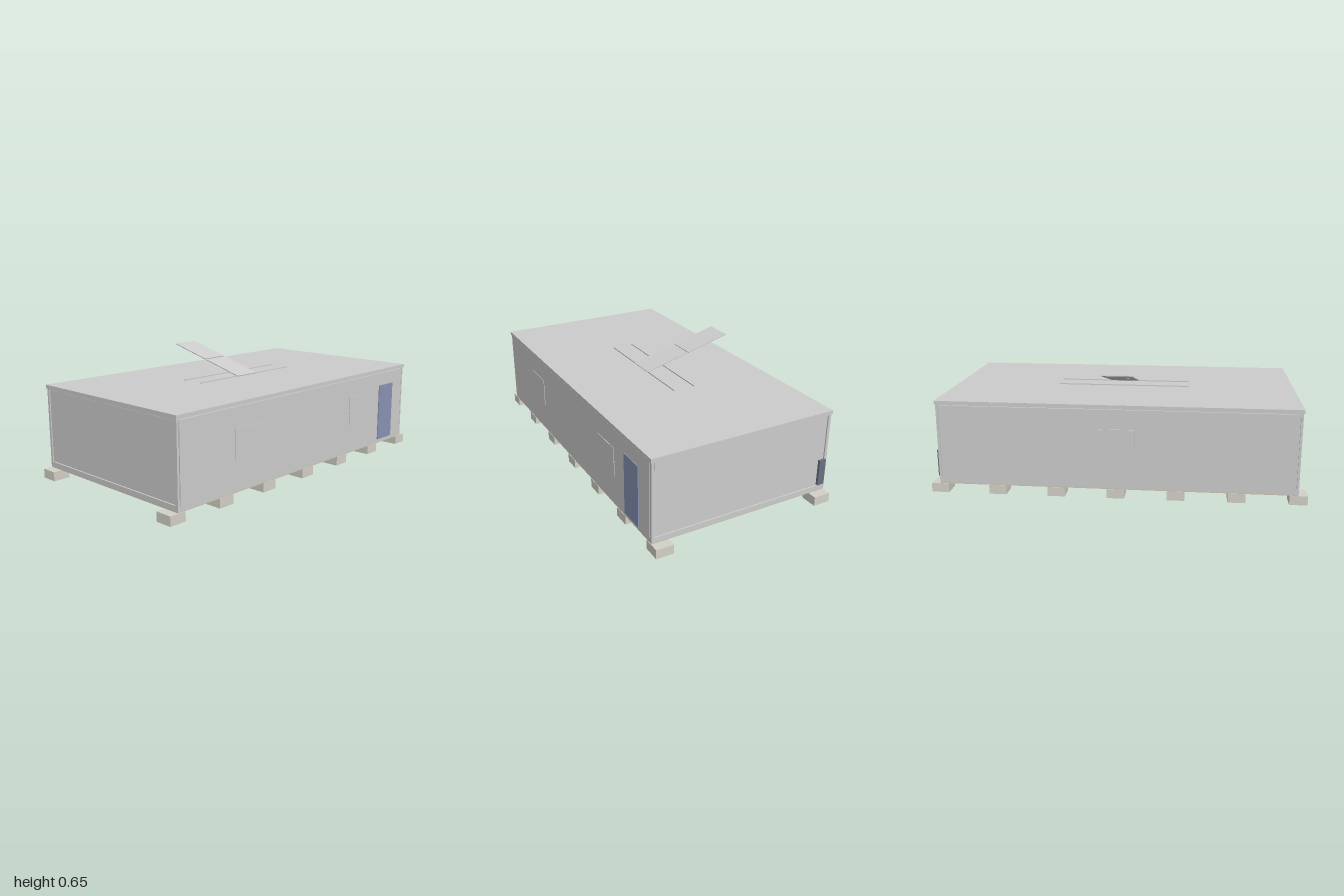
import * as THREE from 'three';

const paint = (color) => new THREE.MeshStandardMaterial({ color });
const grey = paint(0xcccccc);
const concrete = paint(0xd2d0c6);
const floorPaint = paint(0xd0c6b0);
const doorBlue = paint(0x8892b2);
const cabinetBlue = paint(0x687180);

// Box given by its min and max on each axis
function box(name, [x0, x1], [y0, y1], [z0, z1], material = grey) {
  const mesh = new THREE.Mesh(new THREE.BoxGeometry(x1 - x0, y1 - y0, z1 - z0), material);
  mesh.name = name;
  mesh.position.set((x0 + x1) / 2, (y0 + y1) / 2, (z0 + z1) / 2);
  return mesh;
}

export function createModel() {
  const model = new THREE.Group();
  model.name = 'modularCabin';
  const add = (...args) => model.add(box(...args));

  // Foundation blocks in two rows
  for (const side of [-1, 1]) {
    for (let i = 0; i < 7; i++) {
      const x = -0.953 + i * 0.3177;
      const z = side * 0.469;
      add('foundationBlock', [x - 0.047, x + 0.047], [0, 0.05], [z - 0.048, z + 0.048], concrete);
    }
  }

  // Floor, inner shell and roof
  add('floor', [-0.95, 0.95], [0.05, 0.056], [-0.514, 0.514], floorPaint);
  add('shell', [-0.944, 0.944], [0.056, 0.492], [-0.508, 0.508]);
  add('roof', [-0.957, 0.957], [0.49, 0.51], [-0.521, 0.521]);

  // Base rails, corner posts and wall panels
  for (const s of [-1, 1]) {
    const span = (a, b) => (s > 0 ? [a, b] : [-b, -a]);
    add('longBaseRail', [-0.952, 0.952], [0.056, 0.08], span(0.5, 0.516));
    add('endBaseRail', span(0.94, 0.952), [0.056, 0.083], [-0.5, 0.5]);
    add('endTopRail', span(0.94, 0.952), [0.484, 0.49], [-0.5, 0.5]);
    add('longWall', [-0.936, 0.936], [0.08, 0.485], span(0.507, 0.517));
    add('endWall', span(0.942, 0.948), [0.086, 0.482], [-0.497, 0.497]);
    for (const t of [-1, 1]) {
      const z = t > 0 ? [0.5, 0.516] : [-0.516, -0.5];
      add('cornerPost', span(0.94, 0.952), [0.08, 0.49], z);
    }
  }

  // Door and thin plates on the long walls
  add('door', [0.685, 0.83], [0.075, 0.41], [0.515, 0.522], doorBlue);
  for (const x of [-0.48, 0.475]) {
    add('frontPlate', [x - 0.095, x + 0.095], [0.22, 0.38], [0.515, 0.52]);
  }
  add('backPlate', [-0.1, 0.09], [0.22, 0.38], [-0.522, -0.515]);

  // Service cabinet on the end wall
  add('serviceCabinet', [0.945, 0.962], [0.09, 0.235], [-0.505, -0.465], cabinetBlue);

  // Roof rails and two tilted panels
  for (const z of [0.06, -0.064]) {
    add('roofRail', [-0.37, 0.37], [0.509, 0.516], [z - 0.0025, z + 0.0025]);
  }
  const panels = new THREE.Group();
  panels.name = 'tiltedPanels';
  panels.position.set(0, 0.5815, -0.196);
  panels.rotation.x = 0.2575;
  for (const s of [-1, 1]) {
    const z = s * 0.1375;
    panels.add(box('roofPanel', [-0.079, 0.079], [-0.0025, 0.0025], [z - 0.132, z + 0.132]));
  }
  model.add(panels);
  return model;
}
